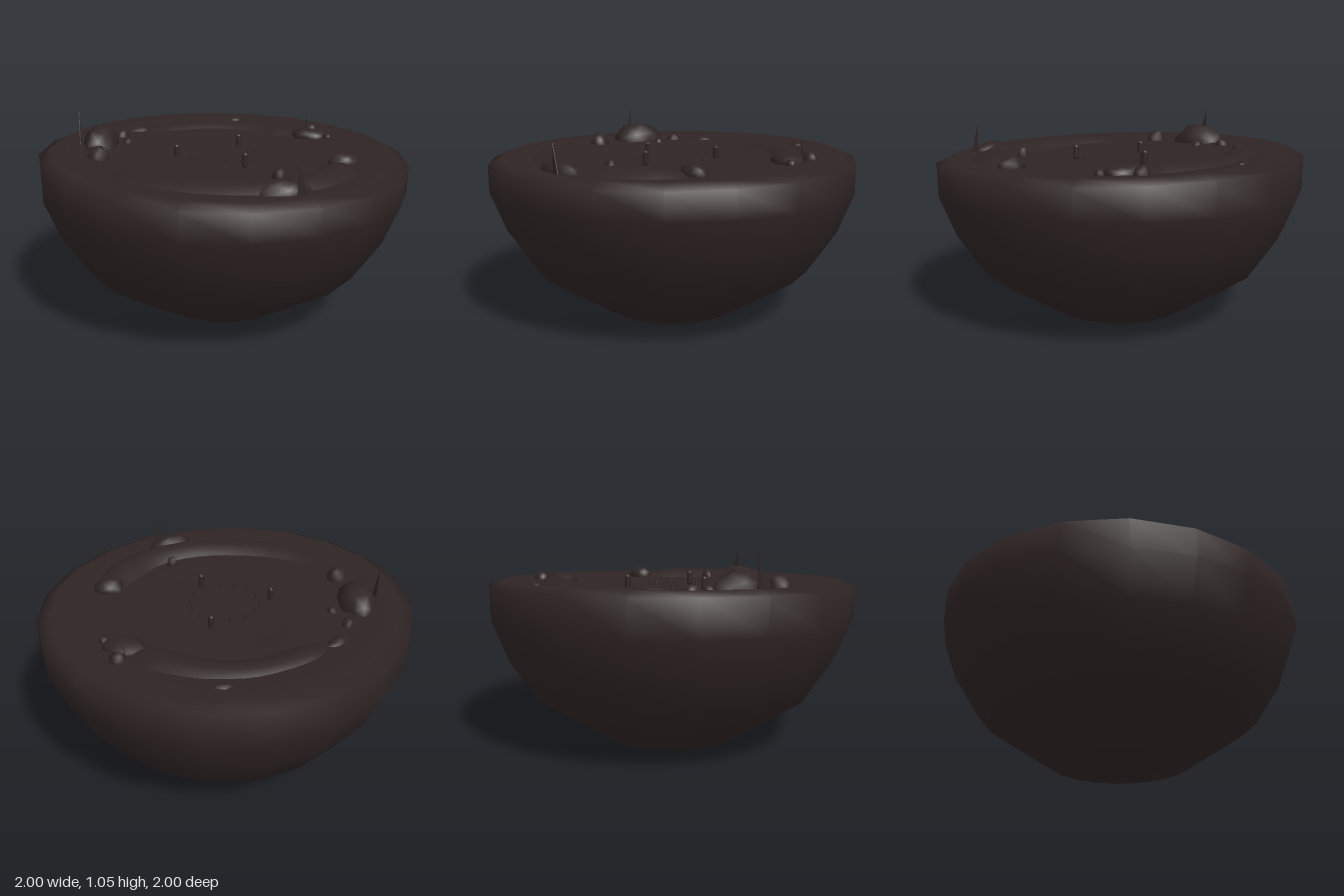
import * as THREE from 'three';
import { mergeVertices } from 'three/addons/utils/BufferGeometryUtils.js';

const earth = new THREE.MeshStandardMaterial({ color: 0x2f2424 });
earth.name = 'darkEarth';
const earthThin = new THREE.MeshStandardMaterial({ color: 0x2f2424, side: THREE.DoubleSide });
earthThin.name = 'darkEarthThin';

// weld the vertices so the whole surface shades smoothly
function smooth(geo) {
  geo.deleteAttribute('normal');
  geo.deleteAttribute('uv');
  const g = mergeVertices(geo, 1e-4);
  g.computeVertexNormals();
  return g;
}

function add(parent, name, geo, material = earth) {
  const mesh = new THREE.Mesh(geo, material);
  mesh.name = name;
  parent.add(mesh);
  return mesh;
}

// half-bowl of ground: 20-sided profile whose top tilts gently
function groundGeometry() {
  const profile = [
    [0, 0], [0.39, 0], [0.77, 0.25], [0.92, 0.48], [1, 0.69], [1, 0.848],
    [0.93, 0.877], [0.82, 0.863], [0.66, 0.85], [0.45, 0.845], [0.36, 0.828], [0, 0.825],
  ].map(([r, y]) => new THREE.Vector2(r, y));
  const geo = new THREE.LatheGeometry(profile, 20);
  const p = geo.attributes.position;
  for (let i = 0; i < p.count; i++) {
    const y = p.getY(i);
    if (y > 0.75) p.setY(i, y - 0.017 * p.getX(i) - 0.021 * p.getZ(i));
  }
  return smooth(geo);
}

// low earth bank: domed cross-section swept along a curve, tapering at the ends
function bankGeometry(path, halfWidth, base, height) {
  const curve = new THREE.CatmullRomCurve3(path.map(([x, z]) => new THREE.Vector3(x, 0, z)));
  const steps = 18, across = 8, pos = [], index = [];
  for (let i = 0; i <= steps; i++) {
    const t = i / steps;
    const c = curve.getPoint(t), d = curve.getTangent(t);
    const end = Math.min(1, Math.min(t, 1 - t) * 6);
    const w = halfWidth * (0.55 + 0.45 * end);
    for (let j = 0; j <= across; j++) {
      const s = (j / across) * 2 - 1;
      const y = base + height * (0.3 + 0.7 * end) * Math.cos(s * Math.PI / 2);
      pos.push(c.x - d.z * s * w, y - 0.01 * c.z, c.z + d.x * s * w);
    }
  }
  const row = across + 1;
  for (let i = 0; i < steps; i++) {
    for (let j = 0; j < across; j++) {
      const a = i * row + j, b = a + 1, c = a + row, e = c + 1;
      index.push(a, b, c, b, e, c);
    }
  }
  const geo = new THREE.BufferGeometry();
  geo.setAttribute('position', new THREE.Float32BufferAttribute(pos, 3));
  geo.setIndex(index);
  geo.computeVertexNormals();
  return geo;
}

// lumpy rounded stone
function stoneGeometry(seed) {
  const geo = smooth(new THREE.IcosahedronGeometry(1, 1));
  const p = geo.attributes.position;
  const v = new THREE.Vector3();
  for (let i = 0; i < p.count; i++) {
    v.fromBufferAttribute(p, i);
    v.multiplyScalar(0.97 + 0.1 * Math.sin(seed * 3.1 + v.x * 4 + v.z * 5.3));
    p.setXYZ(i, v.x, v.y, v.z);
  }
  geo.computeVertexNormals();
  return geo;
}

export function createModel() {
  const model = new THREE.Group();
  model.name = 'groundWithStones';
  add(model, 'ground', groundGeometry());

  // raised curved banks
  add(model, 'frontBank', bankGeometry([[-0.63, 0.27], [-0.5, 0.49], [-0.25, 0.63],
    [0.05, 0.69], [0.32, 0.63], [0.52, 0.45], [0.58, 0.28]], 0.12, 0.835, 0.052), earthThin);
  add(model, 'backBank', bankGeometry([[0.52, -0.37], [0.41, -0.5], [0.22, -0.62],
    [0, -0.67], [-0.25, -0.62], [-0.46, -0.52]], 0.11, 0.84, 0.046), earthThin);

  // stones: x, z, half width, half depth, top height, turn
  const stones = [
    [-0.68, -0.19, 0.105, 0.17, 0.98, -0.1], [-0.68, 0.1, 0.062, 0.06, 0.93, 0],
    [-0.56, -0.39, 0.034, 0.046, 0.905, -0.3], [-0.53, -0.25, 0.03, 0.03, 0.89, 0],
    [0.57, -0.34, 0.115, 0.085, 0.9, -0.4], [0.61, -0.46, 0.042, 0.04, 0.905, 0],
    [0.665, -0.27, 0.025, 0.025, 0.88, 0], [0.6, 0.28, 0.086, 0.062, 0.9, 0],
    [0.21, 0.51, 0.035, 0.03, 0.89, 0], [0.18, 0.76, 0.14, 0.07, 0.905, 0.2],
    [0.17, -0.78, 0.055, 0.033, 0.89, 0], [-0.46, -0.54, 0.085, 0.045, 0.895, 0.6],
  ];
  stones.forEach(([x, z, rx, rz, top, turn], i) => {
    const stone = add(model, 'stone', stoneGeometry(i));
    const base = 0.845 - 0.02 * z;
    stone.position.set(x, base, z);
    stone.scale.set(rx, Math.max(0.03, top - base), rz);
    stone.rotation.y = turn;
  });

  // ring of tiny pegs round the hollow
  const peg = new THREE.CylinderGeometry(0.004, 0.006, 0.03, 6);
  for (let i = 0; i < 14; i++) {
    const a = (i / 14) * Math.PI * 2 + 0.27;
    add(model, 'smallPeg', peg).position.set(Math.cos(a) * 0.19, 0.84, Math.sin(a) * 0.19);
  }
  // three taller round-topped pegs
  const tall = new THREE.CapsuleGeometry(0.016, 0.055, 3, 8);
  for (const [x, z] of [[-0.26, 0], [0.115, -0.22], [0.085, 0.23]]) {
    add(model, 'tallPeg', tall).position.set(x, 0.86, z);
  }

  // thin upright shards: x, z, tip height, width, turn
  const shards = [
    [-0.79, -0.2, 1.055, 0.06, -Math.PI / 2],
    [0.23, 0.82, 0.99, 0.055, 0],
    [0.572, -0.43, 0.965, 0.03, Math.PI / 2],
  ];
  for (const [x, z, tip, width, turn] of shards) {
    const shape = new THREE.Shape([
      new THREE.Vector2(0, 0.83), new THREE.Vector2(width, 0.83), new THREE.Vector2(0, tip),
    ]);
    const shard = add(model, 'shard',
      new THREE.ExtrudeGeometry(shape, { depth: 0.004, bevelEnabled: false }));
    shard.position.set(x, 0, z);
    shard.rotation.y = turn;
  }
  return model;
}
